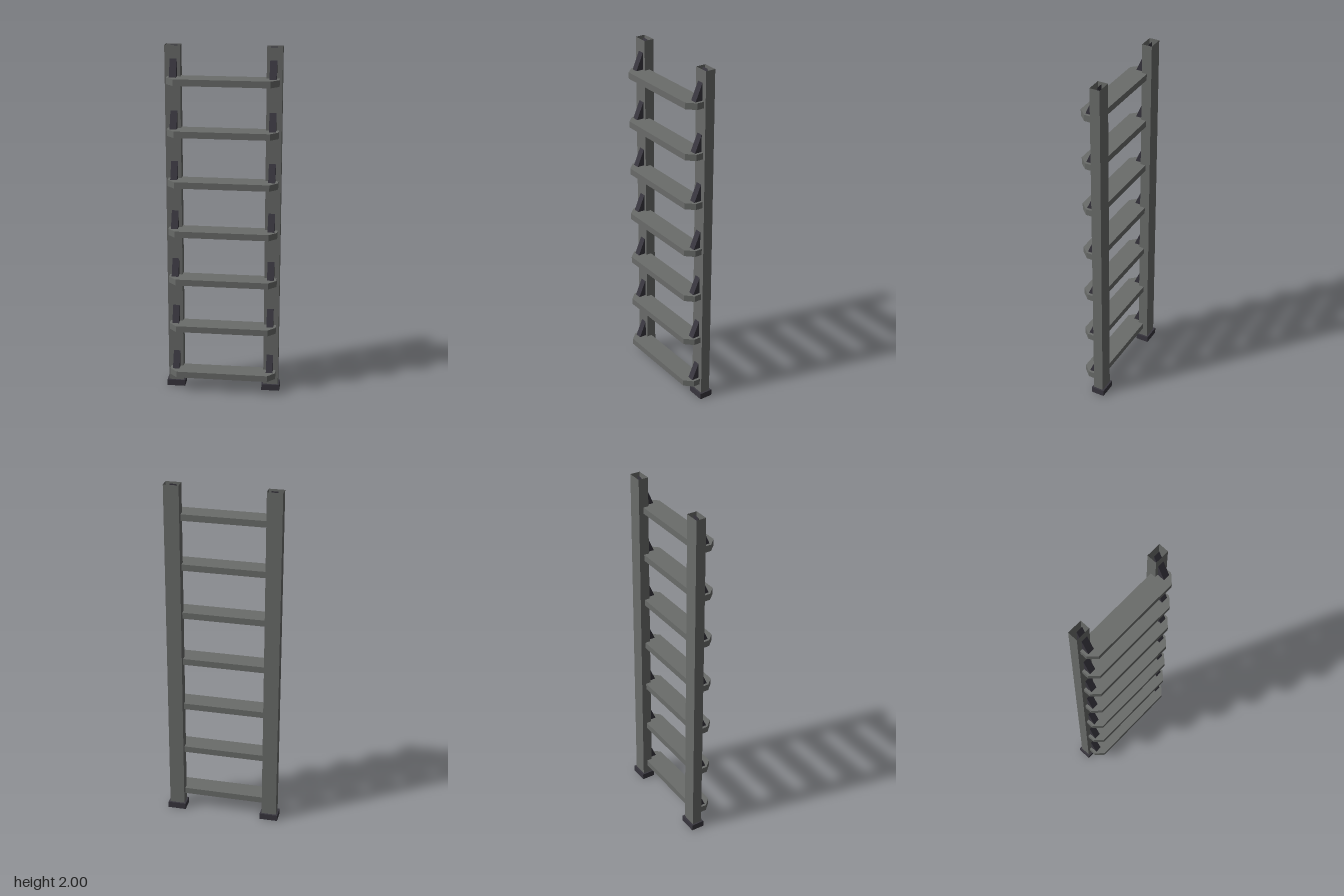
import * as THREE from 'three';

const steel = new THREE.MeshStandardMaterial({ color: 0x6a6c6a, side: THREE.DoubleSide });
steel.name = 'grey steel';
const rubber = new THREE.MeshStandardMaterial({ color: 0x38363e });
rubber.name = 'dark rubber';

const RAIL_X = 0.2755, RAIL_Z = -0.0385;
const RUNGS = 7, FIRST_TOP = 0.125, SPACING = 0.2847, THICK = 0.036;

function addPart(parent, name, geometry, material, x, y, z) {
  const mesh = new THREE.Mesh(geometry, material);
  mesh.name = name;
  mesh.position.set(x, y, z);
  parent.add(mesh);
}

// Square tube, open at both ends
function tube(w, h, d) {
  const g = new THREE.CylinderGeometry(Math.SQRT1_2, Math.SQRT1_2, 1, 4, 1, true)
    .rotateY(Math.PI / 4).scale(w, h, d).toNonIndexed();
  g.computeVertexNormals();
  return g;
}

// Tread with cut front corners, outlined in plan (x, -z)
function treadGeometry() {
  const outline = [[-0.304, 0.04], [-0.304, -0.032], [-0.261, -0.076],
    [0.261, -0.076], [0.304, -0.032], [0.304, 0.04]];
  const shape = new THREE.Shape(outline.map(([x, y]) => new THREE.Vector2(x, y)));
  return new THREE.ExtrudeGeometry(shape, { depth: THICK, bevelEnabled: false })
    .rotateX(-Math.PI / 2);
}

// Triangular bracket, outlined from the side (z, y)
function bracketGeometry() {
  const outline = [[-0.04, 0], [0.032, 0], [-0.04, 0.165]];
  const shape = new THREE.Shape(outline.map(([z, y]) => new THREE.Vector2(z, y)));
  return new THREE.ExtrudeGeometry(shape, { depth: 0.038, bevelEnabled: false })
    .translate(0, 0, -0.019).rotateY(-Math.PI / 2);
}

export function createModel() {
  const ladder = new THREE.Group();
  ladder.name = 'ladder';

  // Uprights and their feet
  const rail = tube(0.085, 1.98, 0.057);
  const foot = new THREE.BoxGeometry(0.104, 0.036, 0.077);
  for (const side of [1, -1]) {
    const label = side > 0 ? 'left' : 'right';
    addPart(ladder, label + 'Rail', rail, steel, side * RAIL_X, 1.01, RAIL_Z);
    addPart(ladder, label + 'Foot', foot, rubber, side * RAIL_X, 0.018, RAIL_Z);
  }

  // Treads, each with a bracket at both ends
  const tread = treadGeometry(), bracket = bracketGeometry();
  for (let i = 0; i < RUNGS; i++) {
    const top = FIRST_TOP + i * SPACING;
    const step = new THREE.Group();
    step.name = 'step' + (i + 1);
    addPart(step, 'tread', tread, steel, 0, top - THICK, 0);
    addPart(step, 'leftBracket', bracket, rubber, 0.27, top, 0);
    addPart(step, 'rightBracket', bracket, rubber, -0.27, top, 0);
    ladder.add(step);
  }
  return ladder;
}
